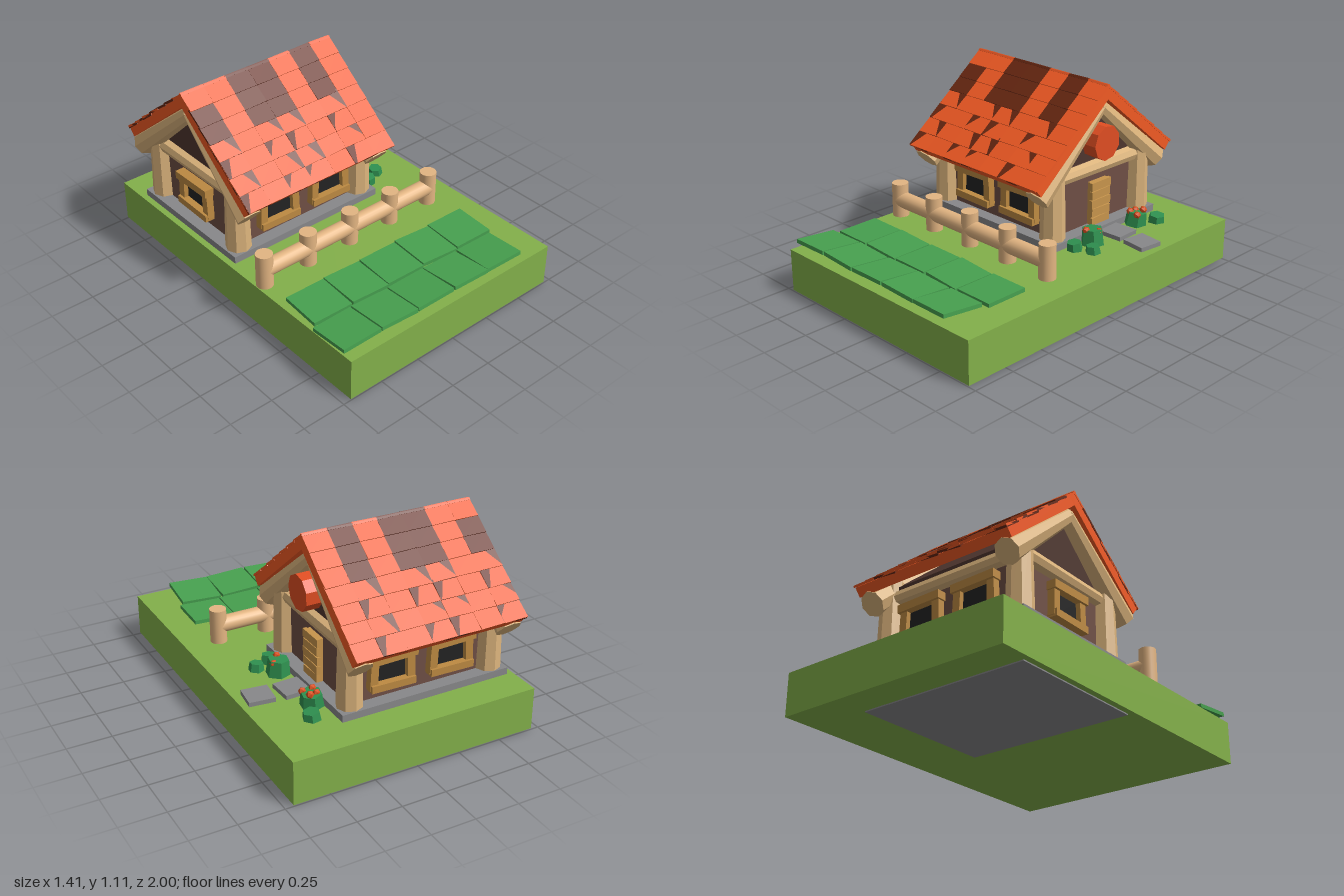
import * as THREE from 'three';

const mat = (color, flat = true) => new THREE.MeshStandardMaterial({ color, flatShading: flat });
const M = {
  grass: mat(0x83b04a), stone: mat(0x88888a), wall: mat(0x6f4f45), gable: mat(0x4f362e),
  log: mat(0xdcb47c), fence: mat(0xe3b582, false), trim: mat(0xbd8a42), glass: mat(0x232323),
  door: mat(0xc8954c), tile: mat(0xf25a24), darkTile: mat(0x682711), disc: mat(0xe04e22),
  leaf: mat(0x47a04f), bush: mat(0x2f9150), flower: mat(0xd9501f),
};

let seed = 7;
const rand = (a) => {
  seed = (seed * 16807) % 2147483647;
  return (seed / 2147483647 * 2 - 1) * a;
};

function add(parent, name, geometry, material, x = 0, y = 0, z = 0) {
  const mesh = new THREE.Mesh(geometry, material);
  mesh.name = name;
  mesh.position.set(x, y, z);
  parent.add(mesh);
  return mesh;
}
const box = (p, name, m, w, h, d, x, y, z) => add(p, name, new THREE.BoxGeometry(w, h, d), m, x, y, z);

function group(parent, name, x = 0, y = 0, z = 0) {
  const g = new THREE.Group();
  g.name = name;
  g.position.set(x, y, z);
  parent.add(g);
  return g;
}

// Log running between two points, with a radius at each end
function log(parent, name, a, b, ra, rb, m = M.log, sides = 8) {
  const from = new THREE.Vector3(...a), to = new THREE.Vector3(...b);
  const dir = to.clone().sub(from);
  const mesh = add(parent, name, new THREE.CylinderGeometry(rb, ra, dir.length(), sides), m);
  mesh.position.copy(from).add(to).multiplyScalar(0.5);
  mesh.quaternion.setFromUnitVectors(new THREE.Vector3(0, 1, 0), dir.normalize());
  return mesh;
}

const CX = -0.17, CZ = -0.39;      // centre of the house
const HX = 0.42, HZ = 0.345;       // half spacing of the corner posts
const PITCH = 0.686, SLOPE = 0.71;

// Window facing +z, turned into place
function windowFrame(parent, x, z, turn) {
  const g = group(parent, 'window', x, 0.45, z);
  g.rotation.y = turn;
  box(g, 'windowPane', M.glass, 0.19, 0.15, 0.03, 0, 0, 0);
  for (const s of [-1, 1]) {
    const jamb = box(g, 'windowJamb', M.trim, 0.045, 0.17, 0.06, s * 0.108, -0.005, 0.012);
    jamb.rotation.z = s * 0.04;
  }
  box(g, 'windowLintel', M.trim, 0.275, 0.045, 0.08, 0, 0.077, 0.016).rotation.z = 0.02;
  box(g, 'windowSill', M.trim, 0.26, 0.04, 0.08, 0, -0.082, 0.016).rotation.z = -0.02;
}

function buildHouse(root) {
  const house = group(root, 'house');
  box(house, 'foundation', M.stone, 1.0, 0.29, 0.84, CX, 0.145, CZ);
  box(house, 'walls', M.wall, 2 * HX, 0.4, 2 * HZ, CX, 0.465, CZ);

  // Triangular gable block under the roof
  const tri = new THREE.Shape([[-0.36, 0.64], [0.36, 0.64], [0.36, 0.68], [0, 0.98], [-0.36, 0.68]]
    .map(([x, y]) => new THREE.Vector2(x, y)));
  const gable = add(house, 'gableWall',
    new THREE.ExtrudeGeometry(tri, { depth: 2 * HX, bevelEnabled: false }), M.gable, CX - HX, 0, CZ);
  gable.rotation.y = Math.PI / 2;

  // Corner posts, eave beams and tie beams
  for (const sx of [-1, 1]) {
    for (const sz of [-1, 1]) {
      const x = CX + sx * HX, z = CZ + sz * HZ;
      log(house, 'cornerPost', [x, 0.28, z], [x, 0.72, z], 0.072, 0.062);
    }
    const x = CX + sx * HX;
    log(house, 'tieBeam', [x, 0.62, CZ - 0.3], [x, 0.62, CZ + 0.3], 0.045, 0.04);
  }
  for (const sz of [-1, 1]) {
    const z = CZ + sz * HZ;
    log(house, 'eaveBeam', [CX - HX, 0.62, z], [CX + HX, 0.62, z], 0.042, 0.042);
    // Two windows on each long side
    for (const x of [-0.333, 0.02]) windowFrame(house, x, z, sz > 0 ? 0 : Math.PI);
  }
  windowFrame(house, CX - HX, CZ, -Math.PI / 2);

  // Plank door
  const door = group(house, 'door', CX + HX + 0.015, 0.28, -0.395);
  box(door, 'doorPanel', M.door, 0.03, 0.26, 0.14, 0, 0.13, 0);
  for (let i = 0; i < 5; i++) {
    const plank = box(door, 'doorPlank', M.door, 0.022, 0.047, 0.15 + rand(0.008), 0.014, 0.03 + i * 0.052, 0);
    plank.rotation.x = rand(0.05);
  }

  // Round sign on the gable above the door
  const disc = add(house, 'gableDisc', new THREE.CylinderGeometry(0.1, 0.1, 0.1, 9), M.disc, 0.295, 0.78, -0.37);
  disc.rotation.z = Math.PI / 2;
}

function buildRoof(root) {
  const roof = group(root, 'roof', CX, 1.1, CZ + 0.005);
  const cols = 7, rows = 7, w = 1 / cols, d = SLOPE / rows;
  const tileGeo = new THREE.BoxGeometry(w, 0.012, d * 1.15);
  const darkCols = [2, 3, 5];
  for (const side of [1, -1]) {
    const half = group(roof, 'roofHalf');
    half.rotation.y = side > 0 ? 0 : Math.PI;
    const slope = group(half, 'roofSlope');
    slope.rotation.x = PITCH;
    box(slope, 'roofPanel', M.tile, 0.995, 0.055, SLOPE, 0, -0.034, SLOPE / 2);

    // Rows of tiles; lower ones are rolled so a dark layer cuts through
    for (let r = 0; r < rows; r++) {
      for (let c = 0; c < cols; c++) {
        const col = side > 0 ? c : cols - 1 - c;
        const x = (c - (cols - 1) / 2) * w, z = (r + 0.5) * d;
        const dark = r < 3 && (darkCols.includes(col) || (col === 0 && r > 0));
        const tile = add(slope, 'roofTile', tileGeo, dark ? M.darkTile : M.tile, x, -0.001, z);
        tile.rotation.set(-0.05, rand(0.02), rand(0.02));
        if (r >= 3 && (darkCols.includes(col) || col === 0)) {
          const under = add(slope, 'roofTileUnder', tileGeo, M.darkTile, x, -0.003, z);
          under.rotation.set(-0.02, 0, tile.rotation.z + (r % 2 ? 1 : -1) * (0.05 + rand(0.02)));
        }
      }
    }

    // Tapered rafter logs at both ends of the roof
    for (const x of [-0.445, 0.435]) {
      log(slope, 'rafter', [side * x, -0.115, 0.715], [side * x, -0.1, 0.07], 0.07, 0.042);
    }
  }
}

function buildFence(root) {
  const fence = group(root, 'fence', 0, 0, 0.265);
  for (let i = 0; i < 5; i++) {
    const x = -0.655 + i * 0.291;
    log(fence, 'fencePost', [x, 0.25, 0], [x, 0.447, 0], 0.047, 0.047, M.fence, 20);
  }
  log(fence, 'fenceRail', [-0.655, 0.348, 0], [0.51, 0.348, 0], 0.047, 0.047, M.fence, 20);
}

function buildGarden(root) {
  const garden = group(root, 'garden');

  // Two rows of slightly tilted leaf slabs
  const beds = [{ x: -0.55, z: 0.575, tilt: 0.03, y: 0.268 }, { x: -0.588, z: 0.835, tilt: -0.085, y: 0.278 }];
  for (const bed of beds) {
    for (let i = 0; i < 5; i++) {
      const slab = box(garden, 'leafSlab', M.leaf, 0.238, 0.022, 0.24,
        bed.x + i * 0.246, bed.y, bed.z + i * 0.004);
      slab.rotation.set(bed.tilt, rand(0.03) - 0.03, i % 2 ? -0.035 : 0.03);
    }
  }

  // Stepping stones by the door
  box(garden, 'steppingStone', M.stone, 0.145, 0.025, 0.145, 0.405, 0.262, -0.41).rotation.y = 0.04;
  box(garden, 'steppingStone', M.stone, 0.145, 0.025, 0.14, 0.59, 0.262, -0.395).rotation.y = -0.12;

  // Six-sided bushes: x, z, radius, height
  const bushes = [[0.445, -0.7, 0.052, 0.045], [0.385, -0.59, 0.066, 0.08],
    [0.385, -0.22, 0.068, 0.09], [0.47, -0.13, 0.044, 0.045], [0.375, -0.085, 0.046, 0.05]];
  for (const [x, z, r, h] of bushes) {
    const bush = add(garden, 'bush', new THREE.CylinderGeometry(r * 0.85, r, h, 6), M.bush, x, 0.248 + h / 2, z);
    bush.rotation.set(rand(0.12), rand(1), rand(0.12));
  }

  // Flowers sitting on the two large bushes
  const flowers = [[0.41, 0.335, -0.62], [0.365, 0.33, -0.56], [0.42, 0.325, -0.555],
    [0.365, 0.325, -0.605], [0.42, 0.325, -0.235], [0.375, 0.335, -0.18]];
  for (const p of flowers) add(garden, 'flower', new THREE.IcosahedronGeometry(0.022, 0), M.flower, ...p);
}

export function createModel() {
  const root = new THREE.Group();
  root.name = 'cottage';
  box(root, 'ground', M.grass, 1.41, 0.243, 2, 0, 0.1285, 0);
  buildHouse(root);
  buildRoof(root);
  buildFence(root);
  buildGarden(root);
  return root;
}
